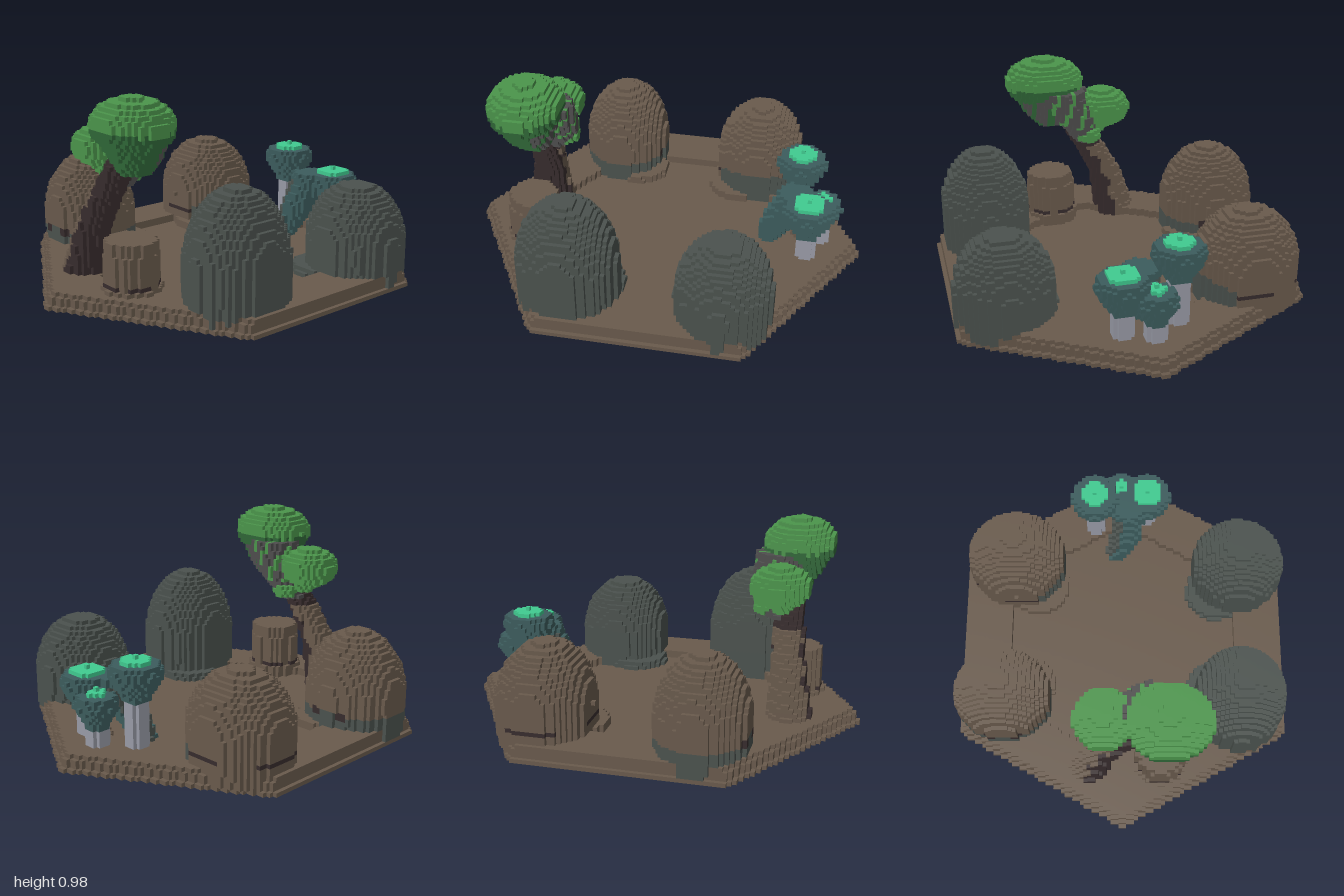
import * as THREE from 'three';

const S = 0.02; // voxel edge

const palette = [
  ['earthBrown', 0x695a4c], ['rockGrey', 0x4b524e], ['darkBark', 0x372c2d],
  ['leafGreen', 0x4b954b], ['deepGreen', 0x2f6637], ['branchGrey', 0x4e4d4d],
  ['capTeal', 0x3c5c5d], ['glowMint', 0x40cb90], ['stemGrey', 0x999ba7], ['darkSoil', 0x36312d],
];
const [EARTH, ROCK, BARK, LEAF, DEEP, BRANCH, TEAL, MINT, STEM, SOIL] = palette.keys();

const ellipsoid = (x, y, z, c, r) =>
  ((x - c[0]) / r[0]) ** 2 + ((y - c[1]) / r[1]) ** 2 + ((z - c[2]) / r[2]) ** 2 <= 1;
const inHex = (x, z, r) => Math.abs(x) <= r * 0.866 && Math.abs(z) + 0.577 * Math.abs(x) <= r;

// Limb through [x, y, z, radius] points, sliced level by level
function limb(points, x, y, z) {
  for (let i = 0; i + 1 < points.length; i++) {
    const a = points[i], b = points[i + 1];
    if (y < a[1] || y > b[1]) continue;
    const t = (y - a[1]) / (b[1] - a[1]);
    const m = (k) => a[k] + (b[k] - a[k]) * t;
    if (Math.hypot(x - m(0), z - m(2)) <= m(3)) return { dx: x - m(0), dz: z - m(2) };
  }
  return null;
}

const parts = [];
// rule(x, y, z) gives a palette index, or -1 for empty space; under recolours downward faces
const part = (name, min, max, rule, under) => parts.push({ name, min, max, rule, under });

// Hexagonal base with stepped rim, sunken floor and dark underside
part('base', [-1, 0, -1], [1, 0.08, 1], (x, y, z) => {
  if (!inHex(x, z, y < 0.02 ? 1 : y < 0.06 ? 0.98 : 0.965)) return -1;
  return y > 0.04 && inHex(x, z, 0.69) ? -1 : EARTH;
}, SOIL);

// Boulders: upright lower wall blending into a dome, with a low step facing the middle
function boulder(name, cx, cz, rx, rz, height, stepRadius, stepColor, color) {
  const waist = height * 0.42;
  const sx = cx - Math.sign(cx) * 0.11, sz = cz - Math.sign(cz) * 0.1;
  part(name, [cx - 0.4, 0.02, cz - 0.4], [cx + 0.4, height, cz + 0.4], (x, y, z) => {
    const v = y < waist ? (y - waist) * 0.22 / waist : (y - waist) / (height - waist);
    if (((x - cx) / rx) ** 2 + ((z - cz) / rz) ** 2 + v * v <= 1) return color(x, y);
    return y < 0.09 && Math.hypot(x - sx, z - sz) < stepRadius - y * 0.3 ? stepColor : -1;
  });
}
const plainRock = () => ROCK;
boulder('frontLeftBoulder', 0.6, 0.37, 0.23, 0.245, 0.6, 0.165, ROCK, plainRock);
boulder('backLeftBoulder', 0.615, -0.385, 0.24, 0.23, 0.49, 0.175, ROCK, plainRock);
boulder('frontRightBoulder', -0.62, 0.345, 0.245, 0.22, 0.52, 0.165, EARTH, (x, y) => {
  if (y > 0.12 && y < 0.16 && (Math.abs(x + 0.7) < 0.03 || Math.abs(x + 0.55) < 0.035)) return BARK;
  return y < 0.15 + 0.012 * Math.sin(x * 18) ? ROCK : EARTH;
});
boulder('backRightBoulder', -0.57, -0.42, 0.26, 0.23, 0.5, 0.18, EARTH, (x, y) => {
  if (x < -0.45) return y > 0.12 && y < 0.14 && Math.sin(x * 20) > -0.3 ? BARK : EARTH;
  return y < 0.16 + 0.35 * (x + 0.45) ? ROCK : EARTH;
});

// Tree stump with dark root marks
part('stump', [0, 0.04, 0.48], [0.4, 0.32, 0.84], (x, y, z) => {
  const r = Math.hypot(x - 0.195, z - 0.655);
  if (r > (y > 0.26 ? 0.118 : y < 0.1 ? 0.137 : 0.127)) return -1;
  const a = Math.atan2(z - 0.655, x - 0.195);
  return r > 0.09 && y > 0.09 && y < 0.13 && Math.sin(a * 5) > -0.4 ? BARK : EARTH;
});

// Leaning trunk, brown on its outer side
const trunkPath = [[-0.18, 0.04, 0.675, 0.11], [-0.12, 0.3, 0.655, 0.08],
  [-0.04, 0.45, 0.64, 0.075], [0.06, 0.6, 0.63, 0.065], [0.11, 0.7, 0.63, 0.055]];
part('trunk', [-0.32, 0.04, 0.5], [0.2, 0.7, 0.82], (x, y, z) => {
  const p = limb(trunkPath, x, y, z);
  if (!p) return -1;
  const edge = (p.dz < -0.04 ? 0.015 : -0.025) + 0.015 * Math.sin(y * 45);
  return y < 0.48 && p.dx < edge ? EARTH : BARK;
});

// Forked upper branch with leafy streaks behind
const fork = [[0, 0.52, 0.58, 0.055], [0.07, 0.66, 0.535, 0.095], [0.14, 0.82, 0.58, 0.13]];
part('branch', [-0.12, 0.5, 0.42], [0.3, 0.82, 0.72], (x, y, z) => {
  const p = limb(fork, x, y, z);
  if (!p) return -1;
  return y > 0.62 && p.dz < -0.02 && Math.sin(x * 75 + y * 25) > 0.55 ? LEAF : BRANCH;
});

// Large canopy: bright cap over a dark tapering underside
const funnel = [[0.19, 0.62, 0.62, 0.065], [0.22, 0.7, 0.64, 0.115], [0.22, 0.84, 0.65, 0.175]];
part('largeCanopy', [0, 0.62, 0.44], [0.44, 0.98, 0.86], (x, y, z) => {
  if (ellipsoid(x, y, z, [0.215, 0.85, 0.65], [0.205, 0.125, 0.18])) {
    return y > 0.84 || Math.hypot(x - 0.215, z - 0.65) > 0.19 ? LEAF : DEEP;
  }
  const p = limb(funnel, x, y, z);
  if (!p) return -1;
  return p.dz < -0.04 && Math.sin(x * 70) < 0.3 ? BRANCH : DEEP;
});

// Small canopy and leaf tuft
const smallFunnel = [[-0.05, 0.56, 0.6, 0.03], [-0.09, 0.68, 0.6, 0.13]];
part('smallCanopy', [-0.26, 0.56, 0.42], [0.06, 0.8, 0.78], (x, y, z) =>
  ellipsoid(x, y, z, [-0.09, 0.7, 0.6], [0.145, 0.1, 0.145]) || limb(smallFunnel, x, y, z) ? LEAF : -1);
part('leafTuft', [-0.1, 0.5, 0.38], [0.16, 0.72, 0.6], (x, y, z) =>
  ellipsoid(x, y, z, [0, 0.57, 0.51], [0.06, 0.04, 0.055]) ? LEAF : -1);

// Mushrooms: pale stem, funnel-bottomed teal cap, glowing crown
function mushroom(name, cx, cz, r, top, crown) {
  const mid = top - 0.09;
  part(name, [cx - 0.16, 0.04, cz - 0.16], [cx + 0.16, top, cz + 0.16], (x, y, z) => {
    const d = Math.hypot(x - cx, z - cz);
    if (y > top - 0.02) return d < 0.016 ? MINT : -1;
    if (y > top - 0.04) return d < crown ? MINT : -1;
    const cap = y > mid
      ? (d / r) ** 2 + ((y - mid) / 0.08) ** 2 <= 1
      : y > mid - 0.13 && d <= r - (mid - y) * 0.55;
    if (cap) return TEAL;
    return y < mid && d <= 0.05 ? STEM : -1;
  });
}
mushroom('tallMushroom', -0.15, -0.67, 0.125, 0.52, 0.064);
mushroom('mediumMushroom', 0.13, -0.73, 0.125, 0.42, 0.074);
mushroom('shortMushroom', -0.01, -0.79, 0.1, 0.36, 0.042);

// Teal frond slanting down to the floor, grey along one side
const frond = [[-0.04, 0.04, -0.53, 0.055], [0.02, 0.2, -0.58, 0.085], [0.03, 0.37, -0.66, 0.09]];
part('hangingFrond', [-0.12, 0.04, -0.78], [0.14, 0.38, -0.44], (x, y, z) => {
  const p = limb(frond, x, y, z);
  if (!p) return -1;
  return y < 0.34 && p.dx < -0.035 ? ROCK : TEAL;
});

// Outward face directions; the other two axes follow cyclically
const sides = [0, 1, 2].flatMap((axis) => [[axis, 1], [axis, -1]]);
const key = (i, j, k) => (i + 100) + 256 * (j + 10) + 65536 * (k + 100);

function fillCells() {
  const taken = new Set();
  for (const p of parts) {
    p.cells = [];
    const lo = p.min.map((v) => Math.floor(v / S + 1e-6));
    const hi = p.max.map((v) => Math.ceil(v / S - 1e-6));
    for (let i = lo[0]; i < hi[0]; i++)
      for (let j = lo[1]; j < hi[1]; j++)
        for (let k = lo[2]; k < hi[2]; k++) {
          const id = key(i, j, k);
          if (taken.has(id)) continue;
          const color = p.rule((i + 0.5) * S, (j + 0.5) * S, (k + 0.5) * S);
          if (color < 0) continue;
          taken.add(id);
          p.cells.push([i, j, k, color]);
        }
  }
  return taken;
}

// Exposed voxel faces of one part, grouped by colour
function voxelGeometry({ cells, under }, taken) {
  const pos = [], nor = [], geometry = new THREE.BufferGeometry();
  palette.forEach((_, color) => {
    const start = pos.length / 3;
    for (const c of cells) {
      for (const [axis, dir] of sides) {
        const down = axis === 1 && dir < 0;
        if ((down ? under ?? c[3] : c[3]) !== color) continue;
        const n = [0, 0, 0];
        n[axis] = dir;
        if (taken.has(key(c[0] + n[0], c[1] + n[1], c[2] + n[2]))) continue;
        const u = (axis + 1) % 3, v = (axis + 2) % 3;
        const quad = [[0, 0], [1, 0], [1, 1], [0, 1]].map(([a, b]) => {
          const q = [c[0], c[1], c[2]];
          q[axis] += dir > 0 ? 1 : 0;
          q[u] += a;
          q[v] += b;
          return q.map((w) => w * S);
        });
        for (const m of dir > 0 ? [0, 1, 2, 0, 2, 3] : [0, 2, 1, 0, 3, 2]) {
          pos.push(...quad[m]);
          nor.push(...n);
        }
      }
    }
    const count = pos.length / 3 - start;
    if (count) geometry.addGroup(start, count, color);
  });
  geometry.setAttribute('position', new THREE.Float32BufferAttribute(pos, 3));
  geometry.setAttribute('normal', new THREE.Float32BufferAttribute(nor, 3));
  return geometry;
}

export function createModel() {
  const model = new THREE.Group();
  model.name = 'forestClearing';
  const materials = palette.map(([name, color]) => {
    const material = new THREE.MeshStandardMaterial({ color });
    material.name = name;
    return material;
  });
  const taken = fillCells();
  for (const p of parts) {
    const mesh = new THREE.Mesh(voxelGeometry(p, taken), materials);
    mesh.name = p.name;
    model.add(mesh);
  }
  return model;
}
